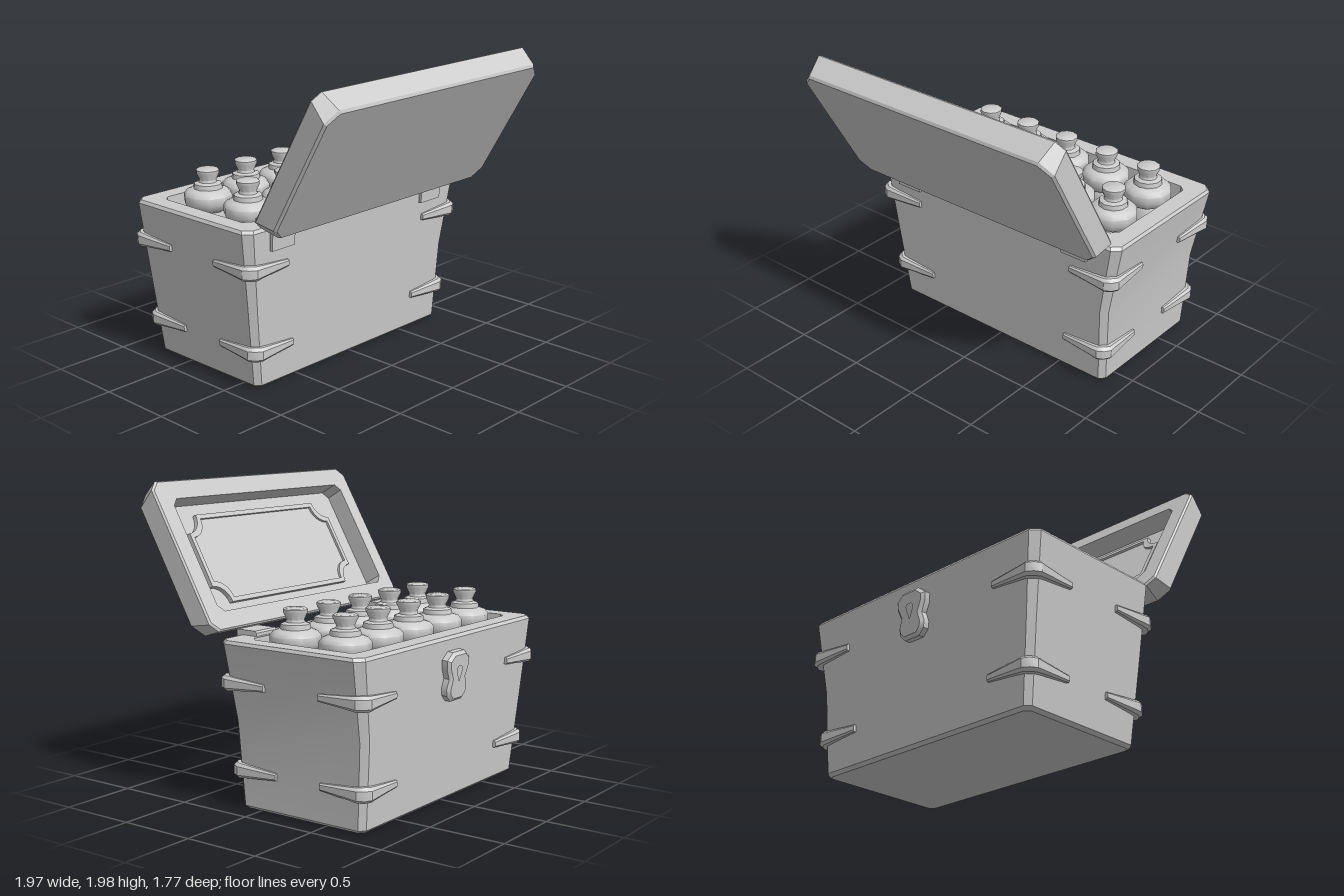
import * as THREE from 'three';
import { toCreasedNormals } from 'three/addons/utils/BufferGeometryUtils.js';

const material = new THREE.MeshStandardMaterial({ color: 0xcccccc });

function part(name, geometry, parent, crease = 0.5) {
  const mesh = new THREE.Mesh(toCreasedNormals(geometry, crease), material);
  mesh.name = name;
  parent.add(mesh);
  return mesh;
}

// Skin a row of equal-length rings and cap both ends
function loft(rings) {
  const n = rings[0].length, pos = [], idx = [];
  rings.forEach(r => r.forEach(p => pos.push(...p)));
  for (let r = 0; r < rings.length - 1; r++) {
    for (let i = 0; i < n; i++) {
      const a = r * n + i, b = r * n + (i + 1) % n;
      idx.push(a, b, b + n, a, b + n, a + n);
    }
  }
  const last = (rings.length - 1) * n;
  for (let i = 1; i < n - 1; i++) {
    idx.push(0, i + 1, i, last, last + i, last + i + 1);
  }
  const g = new THREE.BufferGeometry();
  g.setAttribute('position', new THREE.Float32BufferAttribute(pos, 3));
  g.setIndex(idx);
  return g;
}

// Horizontal rectangle with cut corners
const ring = (y, x0, x1, z0, z1, c) => [
  [x1, y, z1 - c], [x1, y, z0 + c], [x1 - c, y, z0], [x0 + c, y, z0],
  [x0, y, z0 + c], [x0, y, z1 - c], [x0 + c, y, z1], [x1 - c, y, z1],
];

// Outer wall positions of the crate at height y; the +x side is slightly hollow
const mix = THREE.MathUtils.lerp;
const wallX = (y, s) => s < 0 ? mix(-0.85, -0.98, y / 1.06)
  : y < 0.55 ? mix(0.865, 0.89, y / 0.55) : mix(0.89, 0.99, (y - 0.55) / 0.51);
const wallZ = (y, s) => s < 0 ? mix(-0.775, -0.845, y / 1.06) : mix(0.145, 0.215, y / 1.06);
const wallRing = (y, inset, c) => ring(y, wallX(y, -1) + inset, wallX(y, 1) - inset,
  wallZ(y, -1) + inset, wallZ(y, 1) - inset, c);

// Tapered bracket bent round one corner
function bracket(y, sx, sz) {
  const X = Math.abs(wallX(y, sx)), zMid = -0.315, Z = Math.abs(wallZ(y, sz) - zMid);
  const c = 0.045, arm = 0.31, d = Math.SQRT1_2;
  // plan position, outward direction, thickness, half height
  const stations = [
    [X - arm, Z, 0, 1, 0.02, 0.022],
    [X - 0.09, Z, 0, 1, 0.036, 0.04],
    [X - c, Z, 0.4, 0.92, 0.045, 0.046],
    [X - c / 2, Z - c / 2, d, d, 0.055, 0.048],
    [X, Z - c, 0.92, 0.4, 0.045, 0.046],
    [X, Z - 0.09, 1, 0, 0.036, 0.04],
    [X, Z - arm, 1, 0, 0.02, 0.022],
  ];
  return loft(stations.map(([px, pz, nx, nz, t, h]) => {
    const section = [[-0.02, -h], [-0.02, h], [t * 0.6, h], [t, h * 0.6], [t, -h * 0.6], [t * 0.6, -h]];
    const pts = section.map(([o, v]) => [sx * (px + nx * o), y + v, zMid + sz * (pz + nz * o)]);
    return sx * sz < 0 ? pts.reverse() : pts;
  }));
}

// Rectangle whose corners are scooped out
function scooped(w, h, r, Type = THREE.Shape) {
  const s = new Type(), P = Math.PI;
  s.moveTo(-w + r, -h);
  s.lineTo(w - r, -h);
  s.absarc(w, -h, r, P, P / 2, true);
  s.absarc(w, h, r, -P / 2, -P, true);
  s.absarc(-w, h, r, 0, -P / 2, true);
  s.absarc(-w, -h, r, P / 2, 0, true);
  return s;
}

const mirrored = half => [...half, ...half.map(([x, y]) => [-x, y]).reverse()]
  .map(([x, y]) => new THREE.Vector2(x, y));

export function createModel() {
  const model = new THREE.Group();
  model.name = 'bottleChest';

  // Crate with hollow interior
  part('crate', loft([
    wallRing(0, 0.02, 0.03), wallRing(0.02, 0, 0.035), wallRing(0.55, 0, 0.04),
    wallRing(1.04, 0, 0.05), wallRing(1.06, 0.015, 0.05),
    ring(1.06, -0.85, 0.86, -0.71, 0.065, 0.04),
    ring(0.1, -0.78, 0.79, -0.68, 0.04, 0.04),
  ]), model);

  // Corner brackets in two rows
  for (const y of [0.795, 0.245]) {
    for (const sx of [-1, 1]) {
      for (const sz of [-1, 1]) part('cornerBracket', bracket(y, sx, sz), model, 0.6);
    }
  }

  // Ten stoppered bottles
  const profile = [
    [0, 0.1], [0.11, 0.1], [0.125, 0.13], [0.125, 0.92], [0.105, 0.98], [0.14, 1.0],
    [0.157, 1.04], [0.157, 1.085], [0.135, 1.112], [0.095, 1.125], [0.09, 1.155],
    [0.06, 1.165], [0.054, 1.18], [0.075, 1.225], [0.075, 1.243], [0.066, 1.25], [0, 1.25],
  ].map(([r, y]) => new THREE.Vector2(r, y));
  for (let i = 0; i < 5; i++) {
    for (const z of [-0.52, -0.147]) {
      part('bottle', new THREE.LatheGeometry(profile, 10), model, 0.8)
        .position.set(-0.632 + i * 0.33, 0, z);
    }
  }

  // Hinges: L-shaped plates over the rim
  const hinge = new THREE.Shape([
    [0.09, 1.055], [0.222, 1.055], [0.218, 0.91], [0.238, 0.91],
    [0.248, 1.08], [0.24, 1.092], [0.1, 1.092], [0.09, 1.08],
  ].map(([z, y]) => new THREE.Vector2(z, y)));
  for (const x of [-0.61, 0.77]) {
    const g = new THREE.ExtrudeGeometry(hinge, { depth: 0.19, bevelEnabled: false });
    part('hinge', g.rotateY(-Math.PI / 2), model).position.x = x;
  }

  // Latch plate with a tapered slot
  const latch = new THREE.Shape(mirrored([
    [0.065, 0.155], [0.122, 0.11], [0.118, 0.055], [0.088, -0.01],
    [0.108, -0.07], [0.1, -0.115], [0.06, -0.155],
  ]));
  latch.holes.push(new THREE.Path(mirrored([
    [0.025, 0.085], [0.048, 0.06], [0.045, 0.025], [0.022, -0.03], [0.014, -0.085],
  ])));
  const latchGeometry = new THREE.ExtrudeGeometry(latch, {
    depth: 0.045, bevelThickness: 0.018, bevelSize: 0.02, bevelOffset: -0.02, bevelSegments: 1,
  });
  const latchMesh = part('latch', latchGeometry.rotateY(Math.PI), model);
  latchMesh.position.set(0.01, 0.813, -0.822);
  latchMesh.rotation.x = -0.066;

  // Open lid: local +y is the inner face, local +z runs up from the hinge
  const lid = new THREE.Group();
  lid.name = 'lid';
  lid.position.set(0, 1.1, 0.24);
  lid.rotation.x = -Math.PI / 3;
  model.add(lid);
  part('lidShell', loft([
    ring(-0.165, -0.955, 0.97, 0.045, 0.98, 0.07),
    ring(-0.15, -0.97, 0.985, 0.03, 0.995, 0.08),
    ring(-0.012, -0.97, 0.985, 0, 1.02, 0.055),
    ring(0, -0.96, 0.975, 0.01, 1.01, 0.055),
    ring(0, -0.85, 0.86, 0.12, 0.89, 0.045),
    ring(-0.127, -0.85, 0.86, 0.12, 0.89, 0.045),
  ]), lid);

  // Blank plaque and its raised frame inside the lid
  const frame = scooped(0.715, 0.305, 0.12);
  frame.holes.push(scooped(0.685, 0.275, 0.12, THREE.Path));
  const plates = [['plaqueFrame', frame, 0.03], ['plaque', scooped(0.695, 0.285, 0.12), 0.014]];
  for (const [name, shape, depth] of plates) {
    const g = new THREE.ExtrudeGeometry(shape, { depth, bevelEnabled: false, curveSegments: 6 });
    part(name, g.rotateX(-Math.PI / 2), lid).position.set(0.005, -0.128, 0.505);
  }
  return model;
}
